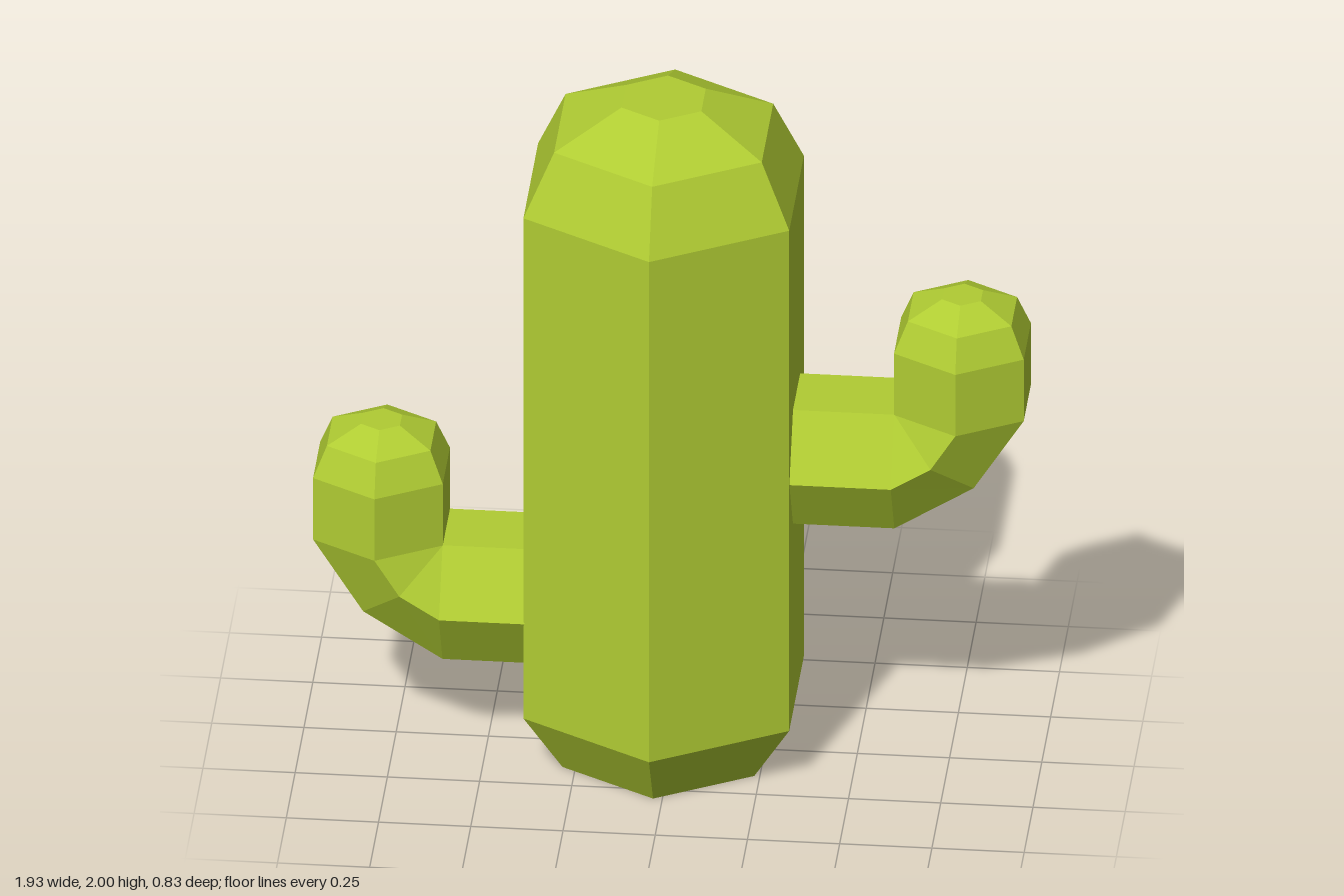
import * as THREE from 'three';

const green = new THREE.MeshStandardMaterial({ color: 0xb0cc33, flatShading: true });
const SIDES = 6;

// Skin closed hexagonal rings. Each ring: centre x, y, tilt (0 = level, -90 = facing +x),
// radius, and an optional squash of the in-plane width.
function loft(name, rings) {
  const pos = [], idx = [];
  for (const [x, y, tilt, r, squash = 1] of rings) {
    const t = THREE.MathUtils.degToRad(tilt);
    for (let k = 0; k < SIDES; k++) {
      const a = (k / SIDES) * Math.PI * 2;
      const u = r * squash * Math.sin(a);
      pos.push(x + u * Math.cos(t), y + u * Math.sin(t), r * Math.cos(a));
    }
  }
  for (let i = 0; i < rings.length - 1; i++) {
    for (let k = 0; k < SIDES; k++) {
      const a = i * SIDES + k, b = i * SIDES + (k + 1) % SIDES;
      idx.push(a, b, b + SIDES, a, b + SIDES, a + SIDES);
    }
  }
  // flat end caps
  const top = (rings.length - 1) * SIDES;
  for (let k = 1; k < SIDES - 1; k++) {
    idx.push(0, k + 1, k, top, top + k, top + k + 1);
  }
  const geo = new THREE.BufferGeometry();
  geo.setAttribute('position', new THREE.Float32BufferAttribute(pos, 3));
  geo.setIndex(idx);
  const flat = geo.toNonIndexed();
  flat.computeVertexNormals();
  const mesh = new THREE.Mesh(flat, green);
  mesh.name = name;
  return mesh;
}

// Arm reaching out to +x, bending up and ending in a rounded tip
function makeArm(name) {
  return loft(name, [
    [0.32, 0.935, -90, 0.203],
    [0.61, 0.935, -90, 0.203],
    [0.7175, 1.0025, -45, 0.203, 0.865],
    [0.785, 1.11, 0, 0.203],
    [0.785, 1.30, 0, 0.203],
    [0.785, 1.39, 0, 0.162],
    [0.785, 1.435, 0, 0.061],
  ]);
}

export function createModel() {
  const model = new THREE.Group();
  model.name = 'cactus';

  // Trunk with tapered foot and domed top
  const trunk = loft('trunk', [
    [0, 0, 0, 0.30],
    [0, 0.177, 0, 0.416],
    [0, 1.725, 0, 0.416],
    [0, 1.907, 0, 0.325],
    [0, 2, 0, 0.125],
  ]);
  trunk.position.x = -0.025;
  model.add(trunk);

  // Upper arm on the left, lower arm on the right
  const leftArm = makeArm('leftArm');
  const rightArm = makeArm('rightArm');
  rightArm.rotation.y = Math.PI;
  rightArm.position.set(-0.004, -0.465, 0.008);
  model.add(leftArm, rightArm);

  return model;
}
